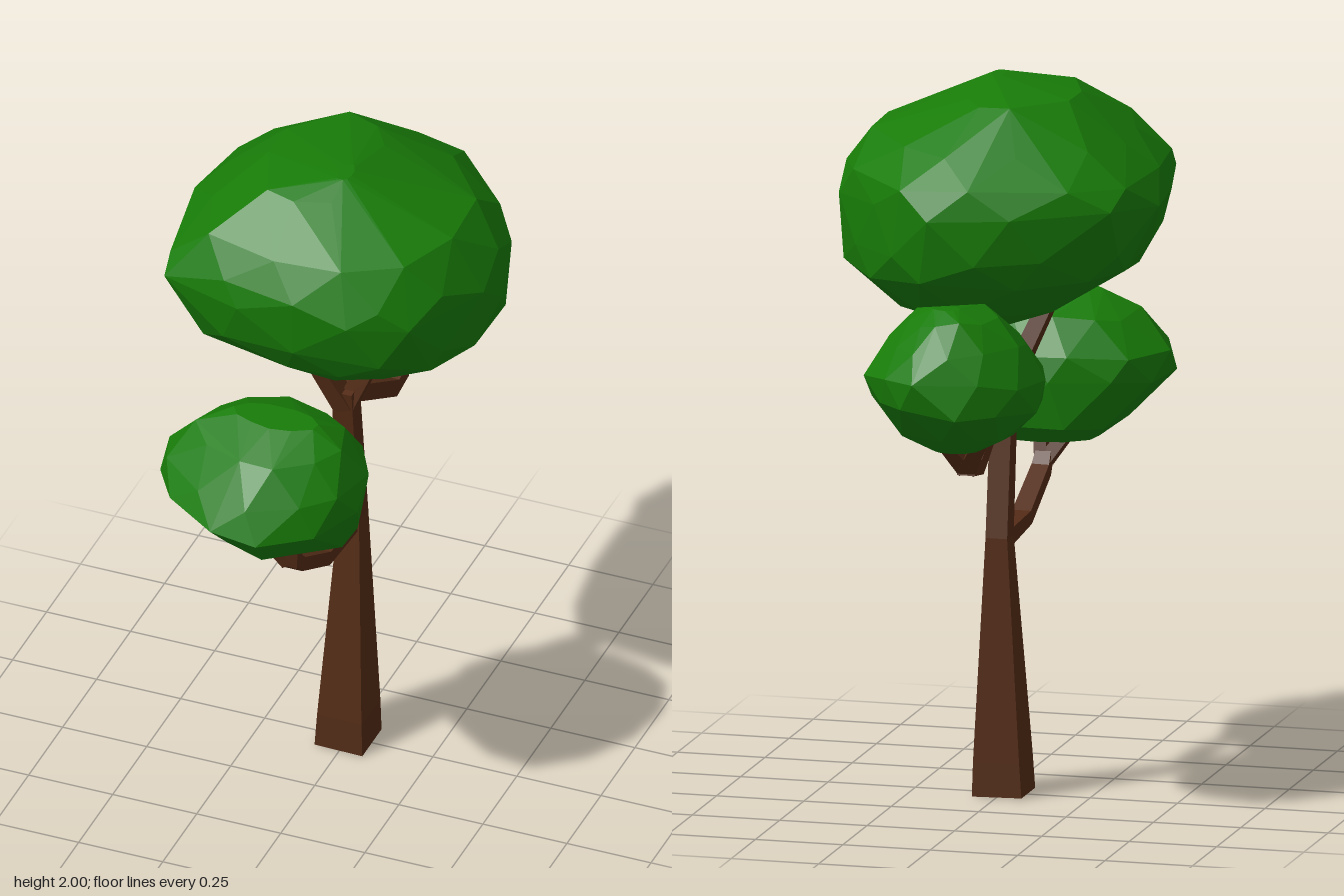
import * as THREE from 'three';
import { ConvexGeometry } from 'three/addons/geometries/ConvexGeometry.js';

const bark = new THREE.MeshStandardMaterial({ color: 0x542c16, flatShading: true });
const leaf = new THREE.MeshStandardMaterial({ color: 0x187c08, flatShading: true });

function seeded(seed) {
  return () => {
    seed = (seed * 16807) % 2147483647;
    return seed / 2147483647;
  };
}

// Four-sided limb lofted along stations [x, y, z, half width, half depth]
function limb(name, stations) {
  const centres = stations.map(s => new THREE.Vector3(s[0], s[1], s[2]));
  const corners = [[1, 1], [-1, 1], [-1, -1], [1, -1]];
  const positions = [], index = [];
  stations.forEach((s, i) => {
    const before = centres[Math.max(i - 1, 0)], after = centres[Math.min(i + 1, centres.length - 1)];
    const dir = after.clone().sub(before).normalize();
    const v = dir.clone().cross(new THREE.Vector3(1, 0, 0)).normalize();
    const u = v.clone().cross(dir);
    for (const [a, b] of corners) {
      const p = centres[i].clone().addScaledVector(u, a * s[3]).addScaledVector(v, b * (s[4] ?? s[3]));
      positions.push(p.x, p.y, p.z);
    }
    if (i === 0) return;
    for (let k = 0; k < 4; k++) {
      const a = (i - 1) * 4 + k, b = (i - 1) * 4 + (k + 1) % 4;
      index.push(a, b, b + 4, a, b + 4, a + 4);
    }
  });
  const e = (stations.length - 1) * 4;
  index.push(0, 2, 1, 0, 3, 2, e, e + 1, e + 2, e, e + 2, e + 3);
  const geometry = new THREE.BufferGeometry();
  geometry.setAttribute('position', new THREE.Float32BufferAttribute(positions, 3));
  geometry.setIndex(index);
  geometry.computeVertexNormals();
  const mesh = new THREE.Mesh(geometry, bark);
  mesh.name = name;
  return mesh;
}

// Faceted leaf clump: hull of rings that follow a plan outline [x, z],
// each ring fitted to its level [y, xMin, xMax, zMin, zMax]
function clump(name, plan, levels, sides, seed) {
  const random = seeded(seed), points = [];
  const outline = new THREE.CatmullRomCurve3(plan.map(([x, z]) => new THREE.Vector3(x, 0, z)), true);
  levels.forEach(([y, x0, x1, z0, z1], level) => {
    const ring = [];
    for (let k = 0; k < sides; k++) {
      ring.push(outline.getPointAt((k + (level % 2) * 0.5 + random() * 0.35) / sides % 1));
    }
    const box = new THREE.Box3().setFromPoints(ring);
    const edge = level === 0 || level === levels.length - 1;
    for (const p of ring) {
      points.push(new THREE.Vector3(
        THREE.MathUtils.mapLinear(p.x, box.min.x, box.max.x, x0, x1),
        y + (edge ? 0 : (random() - 0.5) * 0.025),
        THREE.MathUtils.mapLinear(p.z, box.min.z, box.max.z, z0, z1)));
    }
  });
  const mesh = new THREE.Mesh(new ConvexGeometry(points), leaf);
  mesh.name = name;
  return mesh;
}

export function createModel() {
  const tree = new THREE.Group();
  tree.name = 'tree';

  // Trunk and the fork that carries the crown
  tree.add(limb('trunk', [
    [-0.002, 0, 0, 0.071, 0.071], [0, 0.1, 0, 0.066, 0.07],
    [0, 0.73, -0.033, 0.031, 0.034], [0, 1.19, 0.024, 0.03, 0.03],
  ]));
  tree.add(limb('rightForkBranch', [[0, 1.13, 0.02, 0.028], [-0.05, 1.24, 0.05, 0.024], [-0.14, 1.45, 0.105, 0.019]]));
  tree.add(limb('leftForkBranch', [[0, 1.13, 0.015, 0.028], [0.05, 1.24, 0, 0.024], [0.16, 1.47, -0.035, 0.02]]));

  // Front branch with two twigs
  tree.add(limb('frontBranch', [
    [0, 0.722, -0.03, 0.028, 0.025], [0, 0.735, 0.2, 0.027, 0.02],
    [-0.005, 0.83, 0.38, 0.025, 0.02], [-0.005, 0.87, 0.415, 0.022, 0.018],
  ]));
  tree.add(limb('frontRightTwig', [[-0.01, 0.85, 0.41, 0.019], [-0.11, 0.99, 0.45, 0.016]]));
  tree.add(limb('frontLeftTwig', [[0, 0.85, 0.41, 0.019], [0.02, 0.99, 0.445, 0.016]]));

  // Back branch with two mirrored twigs
  tree.add(limb('backBranch', [
    [0, 1.165, 0.01, 0.025, 0.024], [0, 0.985, -0.3, 0.026, 0.024], [0, 1, -0.375, 0.026, 0.024],
  ]));
  for (const side of [1, -1]) {
    tree.add(limb(side > 0 ? 'backLeftTwig' : 'backRightTwig',
      [[0, 0.995, -0.36, 0.024], [side * 0.08, 1.13, -0.45, 0.017]]));
  }

  // Leaf clumps, from bottom ring to top ring
  const crownPlan = [
    [0.455, 0.08], [0.41, 0.22], [0.34, 0.36], [0.2, 0.45], [0, 0.475], [-0.2, 0.45], [-0.385, 0.4],
    [-0.43, 0.2], [-0.46, -0.06], [-0.39, -0.25], [-0.2, -0.38], [-0.1, -0.42], [0.16, -0.43],
    [0.22, -0.37], [0.38, -0.2], [0.43, -0.12],
  ];
  tree.add(clump('crown', crownPlan, [
    [1.345, -0.06, 0.11, -0.13, 0.05],
    [1.4, -0.17, 0.3, -0.27, 0.27],
    [1.5, -0.37, 0.43, -0.38, 0.4],
    [1.58, -0.41, 0.45, -0.405, 0.46],
    [1.7, -0.458, 0.458, -0.425, 0.47],
    [1.77, -0.43, 0.45, -0.4, 0.475],
    [1.86, -0.35, 0.37, -0.31, 0.42],
    [1.965, -0.2, 0.11, -0.17, 0.28],
    [2, 0.03, 0.07, 0.1, 0.18],
  ], 12, 11));
  const frontPlan = [
    [0.22, 0.45], [0.2, 0.53], [0.1, 0.65], [-0.03, 0.725], [-0.12, 0.7], [-0.29, 0.595],
    [-0.37, 0.46], [-0.31, 0.29], [-0.18, 0.2], [0, 0.19], [0.15, 0.27],
  ];
  tree.add(clump('frontClump', frontPlan, [
    [0.935, -0.17, 0.13, 0.26, 0.47],
    [0.99, -0.26, 0.18, 0.2, 0.62],
    [1.11, -0.365, 0.22, 0.185, 0.725],
    [1.19, -0.365, 0.215, 0.2, 0.69],
    [1.28, -0.27, 0.16, 0.26, 0.6],
    [1.34, -0.17, 0.08, 0.38, 0.49],
  ], 11, 29));
  const backPlan = [
    [0.25, -0.5], [0.22, -0.36], [0.12, -0.25], [-0.02, -0.21], [-0.15, -0.27], [-0.22, -0.37],
    [-0.25, -0.48], [-0.23, -0.58], [-0.12, -0.69], [-0.02, -0.725], [0.06, -0.72], [0.19, -0.61],
  ];
  tree.add(clump('backClump', backPlan, [
    [1.07, -0.06, 0.07, -0.53, -0.43],
    [1.115, -0.16, 0.15, -0.62, -0.33],
    [1.21, -0.24, 0.24, -0.71, -0.22],
    [1.29, -0.25, 0.25, -0.72, -0.21],
    [1.375, -0.19, 0.19, -0.69, -0.245],
    [1.45, -0.12, 0.12, -0.64, -0.34],
    [1.485, -0.03, 0.05, -0.58, -0.52],
  ], 11, 47));
  return tree;
}
